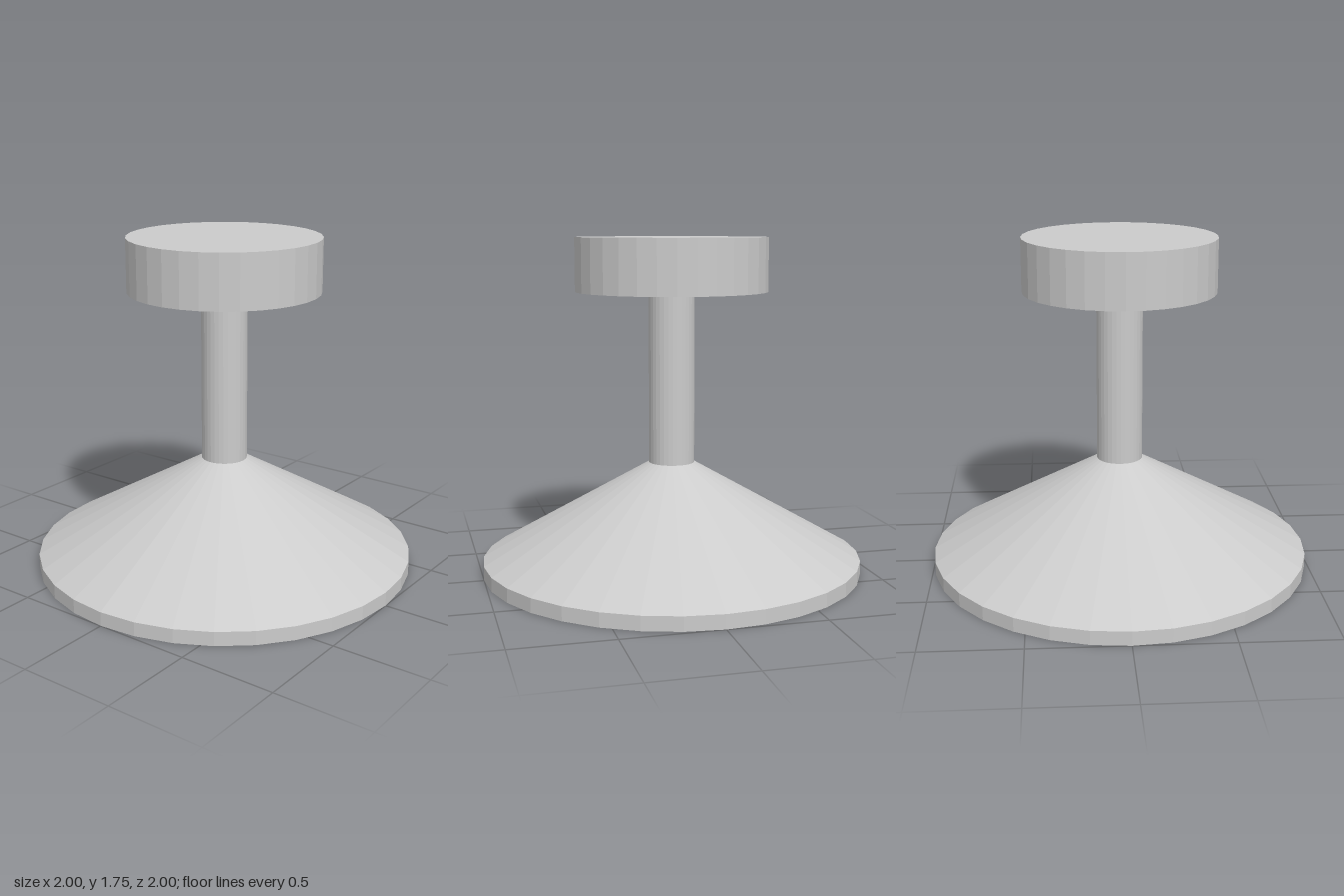
import * as THREE from 'three';

const SIDES = 32;

export function createModel() {
  const model = new THREE.Group();
  const material = new THREE.MeshStandardMaterial({ color: 0xcccccc, flatShading: true });

  const add = (name, geometry) => {
    const mesh = new THREE.Mesh(geometry, material);
    mesh.name = name;
    model.add(mesh);
  };
  // Upright cylinder between two heights
  const disc = (name, radius, bottom, top) =>
    add(name, new THREE.CylinderGeometry(radius, radius, top - bottom, SIDES)
      .translate(0, (bottom + top) / 2, 0));

  // Hollow conical base: underside, rim, then the outer slope
  const profile = [[0, 0.505], [0.12, 0.505], [1, 0], [1, 0.073], [0.12, 0.578]]
    .map(([r, y]) => new THREE.Vector2(r, y));
  add('base', new THREE.LatheGeometry(profile, SIDES));

  // Stem and top knob
  disc('stem', 0.12, 0.56, 1.476);
  disc('knob', 0.5, 1.476, 1.755);

  // Small fastener under the base
  disc('fastener', 0.057, 0.472, 0.51);

  return model;
}
